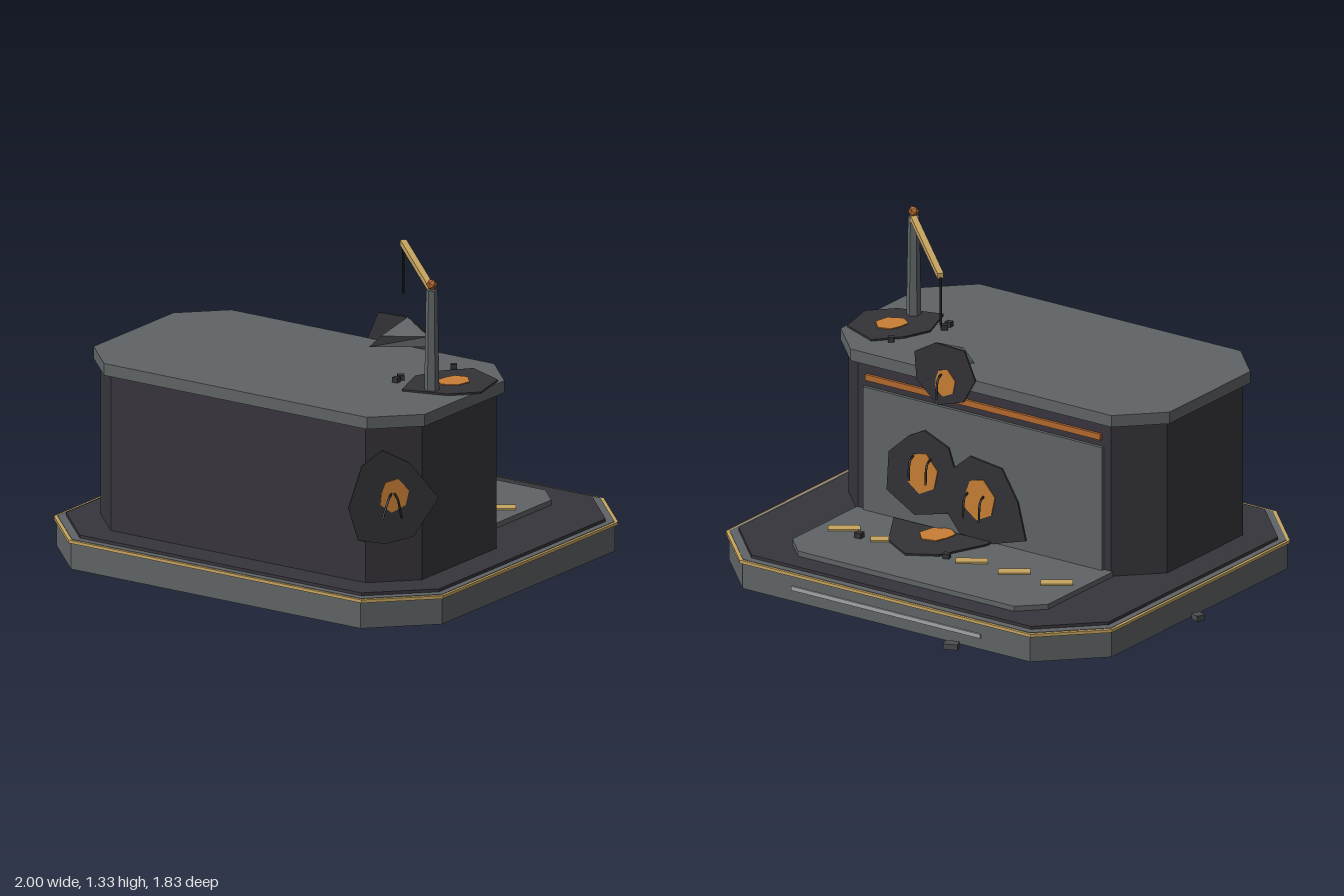
import * as THREE from 'three';

const mat = (name, color, side = THREE.FrontSide) => {
  const m = new THREE.MeshStandardMaterial({ color, side });
  m.name = name;
  return m;
};

export function createModel() {
  const grey = mat('slate grey', 0x5f6466);
  const dark = mat('dark plum', 0x37353c);
  const gold = mat('dull gold', 0xc8a661);
  const copper = mat('copper', 0xb5692f);
  const ember = mat('ember orange', 0xc87f35);
  const soot = mat('soot', 0x333338);
  const black = mat('wire black', 0x1c1c1e);
  const pale = mat('pale grey', 0xa3a7aa);
  const rubble = mat('rubble grey', 0x4b4e51);
  const torn = mat('torn grey', 0x5f6466, THREE.DoubleSide);

  const root = new THREE.Group();
  root.name = 'damagedBuilding';
  const add = (name, geo, material, parent = root) => {
    const m = new THREE.Mesh(geo, material);
    m.name = name;
    parent.add(m);
    return m;
  };
  const polygon = (pts, depth) =>
    new THREE.ExtrudeGeometry(new THREE.Shape(pts.map(p => new THREE.Vector2(...p))), { depth, bevelEnabled: false });
  const box = (name, size, pos, material, ry = 0) => {
    const m = add(name, new THREE.BoxGeometry(...size), material);
    m.position.set(...pos);
    m.rotation.y = ry;
    return m;
  };

  // Flat slab with cut corners; cb and cf are the back and front corner cuts
  const slab = (name, x0, x1, z0, z1, y0, y1, cb, cf, material) => {
    const pts = [[x0 + cb, z0], [x1 - cb, z0], [x1, z0 + cb], [x1, z1 - cf],
      [x1 - cf, z1], [x0 + cf, z1], [x0, z1 - cf], [x0, z0 + cb]].map(([x, z]) => [x, -z]);
    if (!cf) pts.splice(4, 2);
    const m = add(name, polygon(pts, y1 - y0), material);
    m.rotation.x = -Math.PI / 2;
    m.position.y = y0;
  };

  // Stepped base, building and roof
  slab('base', -0.935, 0.985, -0.81, 0.905, 0, 0.113, 0.238, 0.238, grey);
  slab('baseTrim', -0.945, 0.995, -0.82, 0.912, 0.112, 0.125, 0.24, 0.24, gold);
  slab('baseLedge', -0.933, 0.983, -0.808, 0.9, 0.113, 0.127, 0.237, 0.237, grey);
  slab('deck', -0.905, 0.955, -0.775, 0.87, 0.125, 0.14, 0.228, 0.228, dark);
  slab('body', -0.775, 0.825, -0.12, 0.745, 0.13, 0.81, 0.165, 0.165, dark);
  slab('roof', -0.8, 0.85, -0.145, 0.765, 0.805, 0.856, 0.17, 0.17, grey);
  slab('apron', -0.62, 0.665, -0.675, -0.12, 0.13, 0.162, 0.1, 0, grey);

  // Back wall panel, its glowing strip, and the light on the base
  box('backPanel', [1.2, 0.56, 0.02], [0.025, 0.42, -0.125], grey);
  box('backStrip', [1.18, 0.026, 0.015], [0.025, 0.742, -0.125], copper);
  box('baseLight', [0.95, 0.018, 0.008], [0.025, 0.058, -0.813], pale);

  // Slanted floor markings
  for (let i = 0; i < 6; i++)
    box('floorMark', [0.132, 0.008, 0.05], [-0.51 + i * 0.2135, 0.165, -0.36], gold, 0.6);

  // Crane: post, knob, jib and cable
  add('cranePost', new THREE.CylinderGeometry(0.024, 0.031, 0.44, 6).toNonIndexed(), grey).position.set(0.69, 1.07, 0.315);
  root.children.at(-1).geometry.computeVertexNormals();
  add('craneKnob', new THREE.IcosahedronGeometry(0.024, 0), copper).position.set(0.69, 1.312, 0.315);
  box('craneJib', [0.68, 0.024, 0.026], [0.452, 1.286, 0.073], gold, -Math.PI / 4);
  add('craneCable', new THREE.CylinderGeometry(0.005, 0.005, 0.21, 5), black).position.set(0.212, 1.175, -0.166);

  // Blast scar: sooty plate, glowing core and dangling wires
  const core = [[-0.035, 0.055], [0.015, 0.068], [0.058, 0.02], [0.045, -0.04], [-0.01, -0.068], [-0.055, -0.035], [-0.05, 0.015]];
  const scar = (name, pos, rot, outline, size = 1, wires = [], coreAt = [0, 0]) => {
    const g = new THREE.Group();
    g.name = name;
    g.position.set(...pos);
    g.rotation.set(...rot);
    root.add(g);
    add('sootPlate', polygon(outline, 0.008), soot, g);
    add('glowingCore', polygon(core.map(([x, y]) => [x * size + coreAt[0], y * size + coreAt[1]]), 0.004), ember, g).position.z = 0.008;
    for (const [x, y, lean] of wires) {
      const path = new THREE.CatmullRomCurve3([
        new THREE.Vector3(x, y, 0.005), new THREE.Vector3(x + lean * 0.4, y - 0.015, 0.045),
        new THREE.Vector3(x + lean, y - 0.09, 0.07)]);
      add('wire', new THREE.TubeGeometry(path, 6, 0.005, 5), black, g);
    }
  };
  const back = [0, Math.PI, 0], up = [-Math.PI / 2, 0, 0];
  scar('cornerScar', [0.745, 0.51, 0.665], [0, Math.PI / 4, 0],
    [[-0.19, -0.045], [-0.135, 0.13], [-0.05, 0.195], [0.065, 0.135], [0.185, -0.02], [0.08, -0.18], [-0.035, -0.205], [-0.15, -0.185]],
    1.05, [[-0.01, 0.01, -0.05], [0.0, 0.01, 0.02]]);
  scar('roofScar', [0.7, 0.856, 0.17], up,
    [[-0.04, 0.195], [0.135, 0.12], [0.175, -0.06], [0.08, -0.16], [-0.11, -0.215], [-0.175, -0.03], [-0.13, 0.09]], 1.08);
  scar('apronScar', [0.2, 0.162, -0.21], up,
    [[-0.02, 0.25], [0.13, 0.16], [0.26, -0.06], [-0.23, -0.06], [-0.23, -0.03], [-0.14, 0.18]], 1.2);
  scar('roofEdgeScar', [0.2, 0.84, -0.142], back,
    [[0.15, 0.015], [0.095, 0.135], [-0.05, 0.14], [-0.155, 0.08], [-0.145, -0.04], [-0.04, -0.13], [0.09, -0.09]],
    0.9, [[-0.02, 0.01, 0.02]], [0, -0.025]);
  scar('wallScarLeft', [0.32, 0.39, -0.135], back,
    [[-0.17, 0.06], [-0.07, 0.15], [0.01, 0.19], [0.13, 0.14], [0.18, 0], [0.12, -0.15], [-0.04, -0.19], [-0.18, -0.11]],
    1.35, [[-0.045, 0.07, 0.02], [0.04, 0.07, 0.02]]);
  scar('wallScarRight', [0.03, 0.34, -0.138], back,
    [[-0.18, 0.07], [-0.05, 0.18], [0.11, 0.16], [0.19, 0.03], [0.23, -0.13], [0.06, -0.18], [-0.1, -0.17], [-0.19, -0.06]],
    1.35, [[-0.06, 0.02, 0.02], [0.02, 0.02, 0.02]]);

  // Torn flap bent forward over the roof edge
  const flap = new THREE.BufferGeometry();
  flap.setAttribute('position', new THREE.Float32BufferAttribute([
    0.15, 0.868, -0.01, 0.355, 0.87, -0.142, 0.355, 0.915, -0.142,
    0.15, 0.868, -0.01, 0.355, 0.915, -0.142, 0.21, 0.925, -0.01,
    0.21, 0.925, -0.01, 0.355, 0.915, -0.142, 0.25, 0.98, -0.142,
    0.15, 0.868, -0.01, 0.21, 0.925, -0.01, 0.25, 0.98, -0.142], 3));
  flap.computeVertexNormals();
  add('tornFlap', flap, torn);

  // Scattered rubble: x, y, z, size, turn
  for (const [x, y, z, s, r] of [
    [0.025, 0.172, -0.385, 0.028, 0.3], [0.45, 0.175, -0.405, 0.032, 0.05],
    [0.59, 0.869, 0.015, 0.026, 0.6], [0.495, 0.868, 0.257, 0.028, 0.7], [0.5, 0.868, 0.297, 0.026, 0.1]])
    box('rubble', [s, 0.022, s], [x, y, z], soot, r);
  box('groundRubble', [0.042, 0.024, 0.038], [-0.977, 0.014, -0.02], rubble, -0.4);
  box('groundRubble', [0.06, 0.024, 0.045], [-0.355, 0.02, -0.885], rubble, 0.4);

  return root;
}
